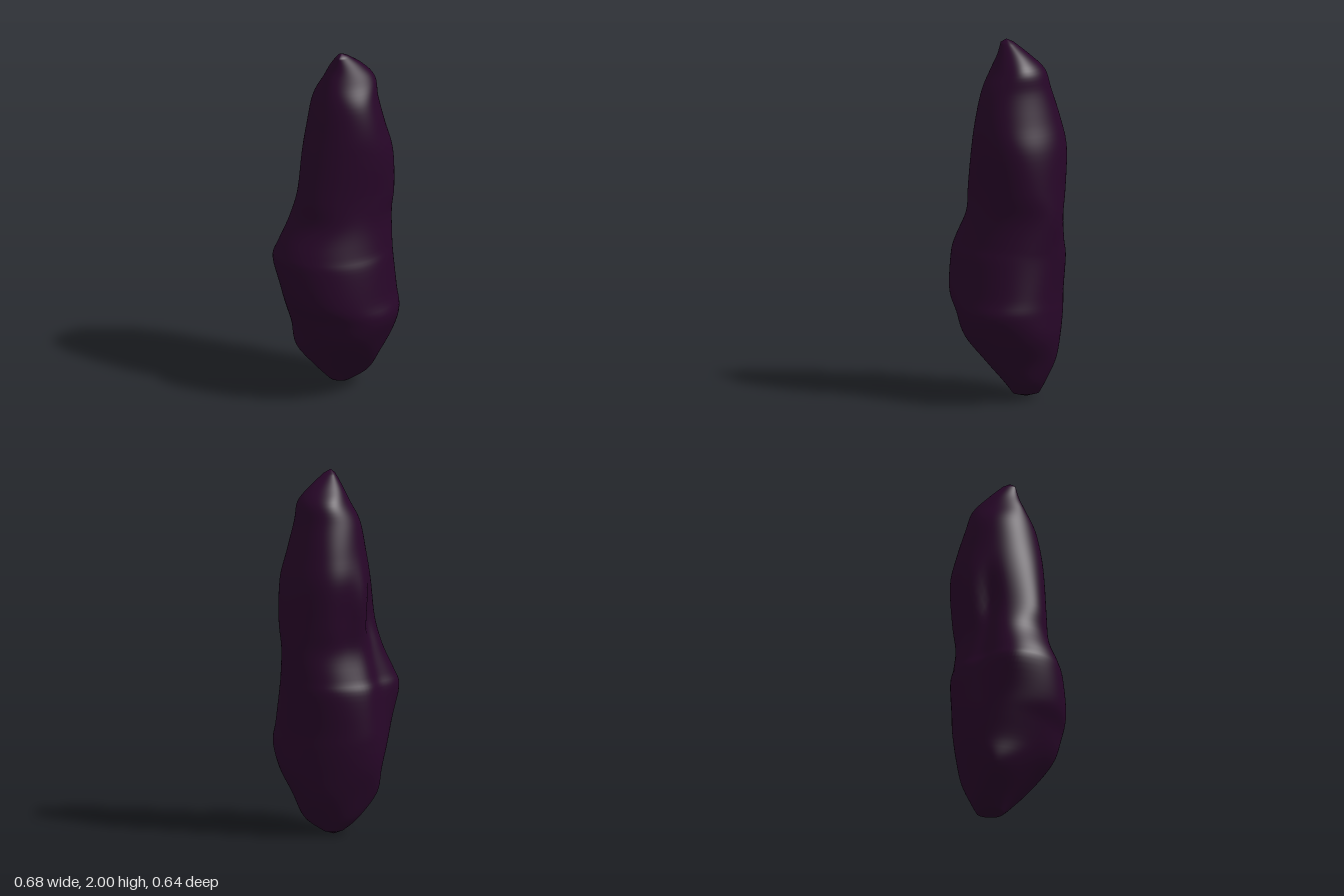
import * as THREE from 'three';

// Reach of the rock from the vertical axis in eight directions, at rising heights:
// [y, +x, +x+z, +z, -x+z, -x, -x-z, -z, +x-z]
const SECTIONS = [
  [0.02, 0.06, 0.01, -0.03, 0.0, 0.05, 0.13, 0.165, 0.14],
  [0.09, 0.16, 0.09, 0.02, 0.06, 0.13, 0.19, 0.2, 0.21],
  [0.22, 0.225, 0.21, 0.12, 0.165, 0.22, 0.25, 0.25, 0.275],
  [0.36, 0.3, 0.29, 0.235, 0.215, 0.255, 0.295, 0.28, 0.32],
  [0.49, 0.34, 0.335, 0.28, 0.265, 0.285, 0.315, 0.295, 0.325],
  [0.6, 0.325, 0.32, 0.317, 0.31, 0.305, 0.32, 0.3, 0.32],
  [0.79, 0.305, 0.29, 0.31, 0.34, 0.335, 0.31, 0.315, 0.32],
  [0.88, 0.295, 0.265, 0.285, 0.32, 0.31, 0.28, 0.305, 0.325],
  [1.03, 0.29, 0.235, 0.23, 0.245, 0.255, 0.24, 0.3, 0.335],
  [1.18, 0.297, 0.24, 0.21, 0.235, 0.205, 0.255, 0.305, 0.34],
  [1.4, 0.292, 0.25, 0.19, 0.2, 0.185, 0.27, 0.31, 0.33],
  [1.56, 0.26, 0.235, 0.175, 0.16, 0.165, 0.235, 0.28, 0.285],
  [1.72, 0.225, 0.195, 0.145, 0.12, 0.138, 0.19, 0.235, 0.24],
  [1.83, 0.203, 0.14, 0.095, 0.08, 0.08, 0.145, 0.2, 0.22],
  [1.91, 0.14, 0.095, 0.06, 0.04, 0.04, 0.08, 0.12, 0.15],
  [1.98, 0.065, 0.055, 0.04, 0.015, -0.005, 0.01, 0.03, 0.055],
];
// Local knobs (+) and hollows (-): [degrees from +x towards +z, y, amount, angular spread, height spread]
const KNOBS = [
  [165, 0.8, 0.01, 10, 0.08],
  [200, 0.78, -0.04, 14, 0.17],
  [225, 1.28, 0.025, 10, 0.12],
  [202, 1.2, -0.03, 11, 0.13],
  [250, 1.15, -0.015, 10, 0.15],
];
const STEPS = 5; // rings per section
const SIDES = 96;

// Catmull-Rom blend of four neighbouring values
function blend(a, b, c, d, t) {
  return b + 0.5 * t * (c - a + t * (2 * a - 5 * b + 4 * c - d + t * (3 * (b - c) + d - a)));
}

// Section values at a fractional row
function sectionAt(u) {
  const last = SECTIONS.length - 1;
  const i = Math.min(Math.floor(u), last - 1);
  const row = (k) => SECTIONS[THREE.MathUtils.clamp(k, 0, last)];
  return row(i).map((v, k) => blend(row(i - 1)[k], v, row(i + 1)[k], row(i + 2)[k], u - i));
}

// Radial offset from the knobs and hollows at one point
function knobOffset(x, y, z) {
  const degrees = (THREE.MathUtils.radToDeg(Math.atan2(z, x)) + 360) % 360;
  return KNOBS.reduce((sum, [angle, height, amount, spread, tall]) => {
    const d = ((degrees - angle) / spread) ** 2 + ((y - height) / tall) ** 2;
    return sum + amount * Math.exp(-d / 2);
  }, 0);
}

// Closed outline that touches the eight reach lines: the envelope of a smooth
// reach curve made of a mean and three harmonics
function addRing(positions, [y, ...reach]) {
  const mean = reach.reduce((sum, r) => sum + r, 0) / 8;
  const waves = [1, 2, 3].map((n) => {
    let c = 0;
    let s = 0;
    reach.forEach((r, k) => {
      c += (r * Math.cos((n * k * Math.PI) / 4)) / 4;
      s += (r * Math.sin((n * k * Math.PI) / 4)) / 4;
    });
    return { n, c, s };
  });
  for (let j = 0; j < SIDES; j++) {
    const a = (j / SIDES) * Math.PI * 2;
    let h = mean;
    let slope = 0;
    for (const { n, c, s } of waves) {
      h += c * Math.cos(n * a) + s * Math.sin(n * a);
      slope += n * (s * Math.cos(n * a) - c * Math.sin(n * a));
    }
    const x = h * Math.cos(a) - slope * Math.sin(a);
    const z = h * Math.sin(a) + slope * Math.cos(a);
    const scale = 1 + knobOffset(x, y, z) / Math.hypot(x, z);
    positions.push(x * scale, y, z * scale);
  }
}

function rockGeometry() {
  const positions = [];
  const index = [];
  const rings = (SECTIONS.length - 1) * STEPS + 1;
  for (let i = 0; i < rings; i++) addRing(positions, sectionAt(i / STEPS));

  // Blunt tips at both ends
  const bottom = rings * SIDES;
  const top = bottom + 1;
  positions.push(0, 0, -0.1, 0.03, 2, 0.01);

  for (let j = 0; j < SIDES; j++) {
    const n = (j + 1) % SIDES;
    for (let i = 0; i < rings - 1; i++) {
      const a = i * SIDES + j;
      const b = i * SIDES + n;
      index.push(a, a + SIDES, b, b, a + SIDES, b + SIDES);
    }
    const t = (rings - 1) * SIDES;
    index.push(bottom, j, n, top, t + n, t + j);
  }

  const geometry = new THREE.BufferGeometry();
  geometry.setAttribute('position', new THREE.Float32BufferAttribute(positions, 3));
  geometry.setIndex(index);
  geometry.computeVertexNormals();
  return geometry;
}

export function createModel() {
  const model = new THREE.Group();
  model.name = 'standingRock';
  const darkPurple = new THREE.MeshStandardMaterial({ color: 0x270628 });
  darkPurple.name = 'darkPurple';
  const rock = new THREE.Mesh(rockGeometry(), darkPurple);
  rock.name = 'rock';
  model.add(rock);
  return model;
}
